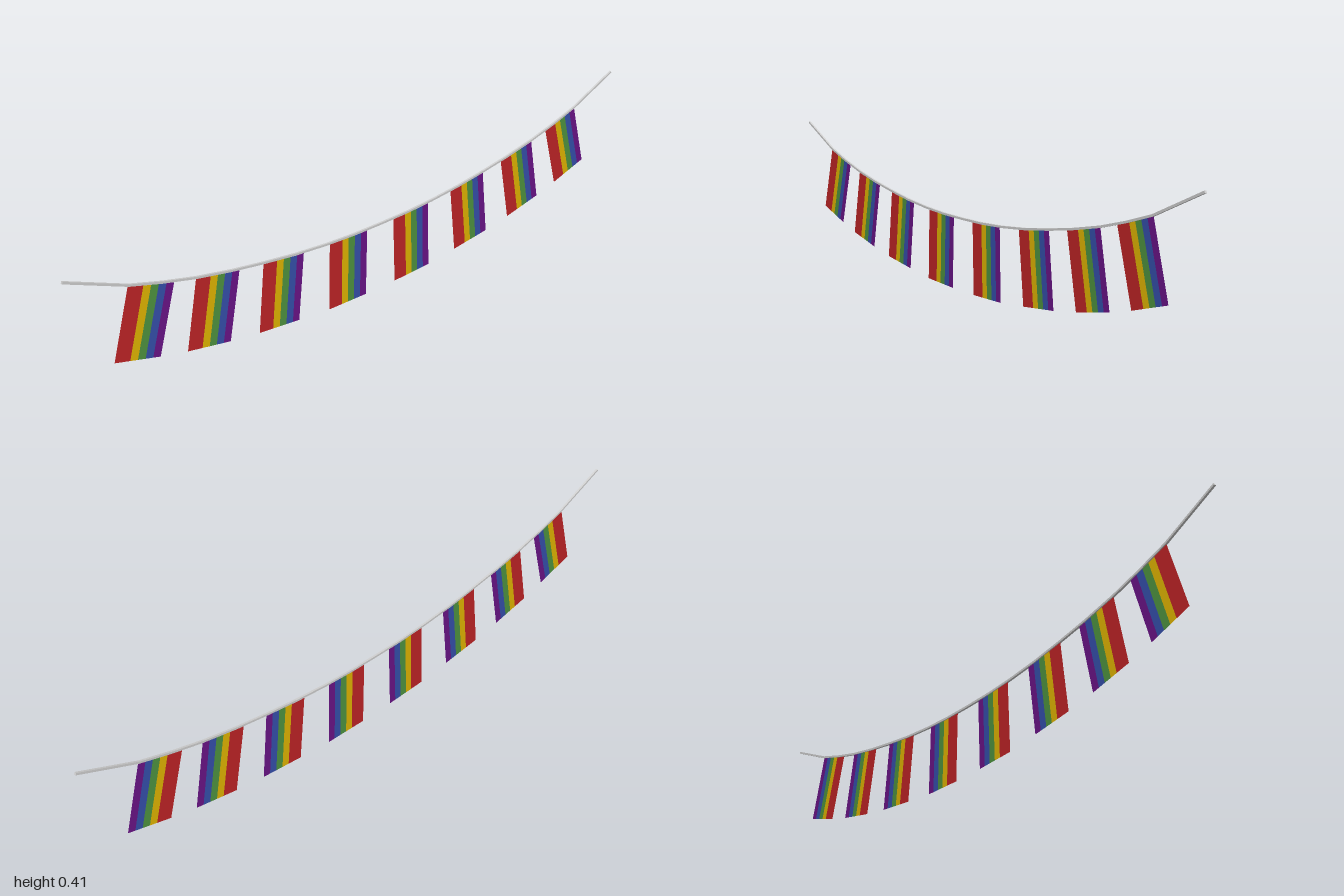
import * as THREE from 'three';

const mat = (name, color, side = THREE.FrontSide) => {
  const m = new THREE.MeshStandardMaterial({ color, side });
  m.name = name;
  return m;
};

export function createModel() {
  const group = new THREE.Group();
  group.name = 'bunting';
  const ropeGrey = mat('rope light grey', 0xd0d0d0);

  // Stripes from left to right: material and width in sixths of the flag
  const D = THREE.DoubleSide;
  const stripes = [
    [mat('red', 0xc02426, D), 2],
    [mat('yellow', 0xe2b600, D), 1],
    [mat('green', 0x4f9440, D), 1],
    [mat('blue', 0x3550ac, D), 1],
    [mat('purple', 0x6a1488, D), 1],
  ];

  // Sagging square rope made of short straight segments
  const T = 0.0062;
  const half = [[0.1, 0.213], [0.2, 0.218], [0.31, 0.228], [0.42, 0.243], [0.52, 0.259],
    [0.63, 0.281], [0.73, 0.307], [0.825, 0.336], [0.998, 0.412]];
  const points = [
    ...half.map(([x, y]) => [-x, y]).reverse(), [0, 0.212], ...half,
  ].map(([x, y]) => new THREE.Vector3(x, y, 0));
  const rope = new THREE.Group();
  rope.name = 'rope';
  for (let i = 1; i < points.length; i++) {
    const dir = points[i].clone().sub(points[i - 1]);
    const segment = new THREE.Mesh(
      new THREE.BoxGeometry(dir.length() + 0.0006, T, T), ropeGrey);
    segment.name = 'ropeSegment';
    segment.position.copy(points[i]).add(points[i - 1]).multiplyScalar(0.5);
    segment.rotation.z = Math.atan2(dir.y, dir.x);
    rope.add(segment);
  }
  group.add(rope);

  // Flat striped flag hanging from the middle of its top edge
  const W = 0.138, H = 0.212;
  const makeFlag = (x, y, angle) => {
    const flag = new THREE.Group();
    flag.name = 'flag';
    let left = -W / 2;
    for (const [material, sixths] of stripes) {
      const w = W * sixths / 6;
      const stripe = new THREE.Mesh(new THREE.PlaneGeometry(w, H), material);
      stripe.name = material.name + 'Stripe';
      stripe.position.set(left + w / 2, -H / 2, 0);
      left += w;
      flag.add(stripe);
    }
    flag.position.set(x, y, 0);
    flag.rotation.z = angle;
    group.add(flag);
  };

  // Four flags on each side, tilted with the rope
  for (const [x, y, deg] of [[0.119, 0.214, 1.7], [0.348, 0.234, 6.5],
    [0.562, 0.268, 11.5], [0.76, 0.318, 16.5]]) {
    for (const s of [-1, 1]) makeFlag(s * x, y, s * THREE.MathUtils.degToRad(deg));
  }
  return group;
}
